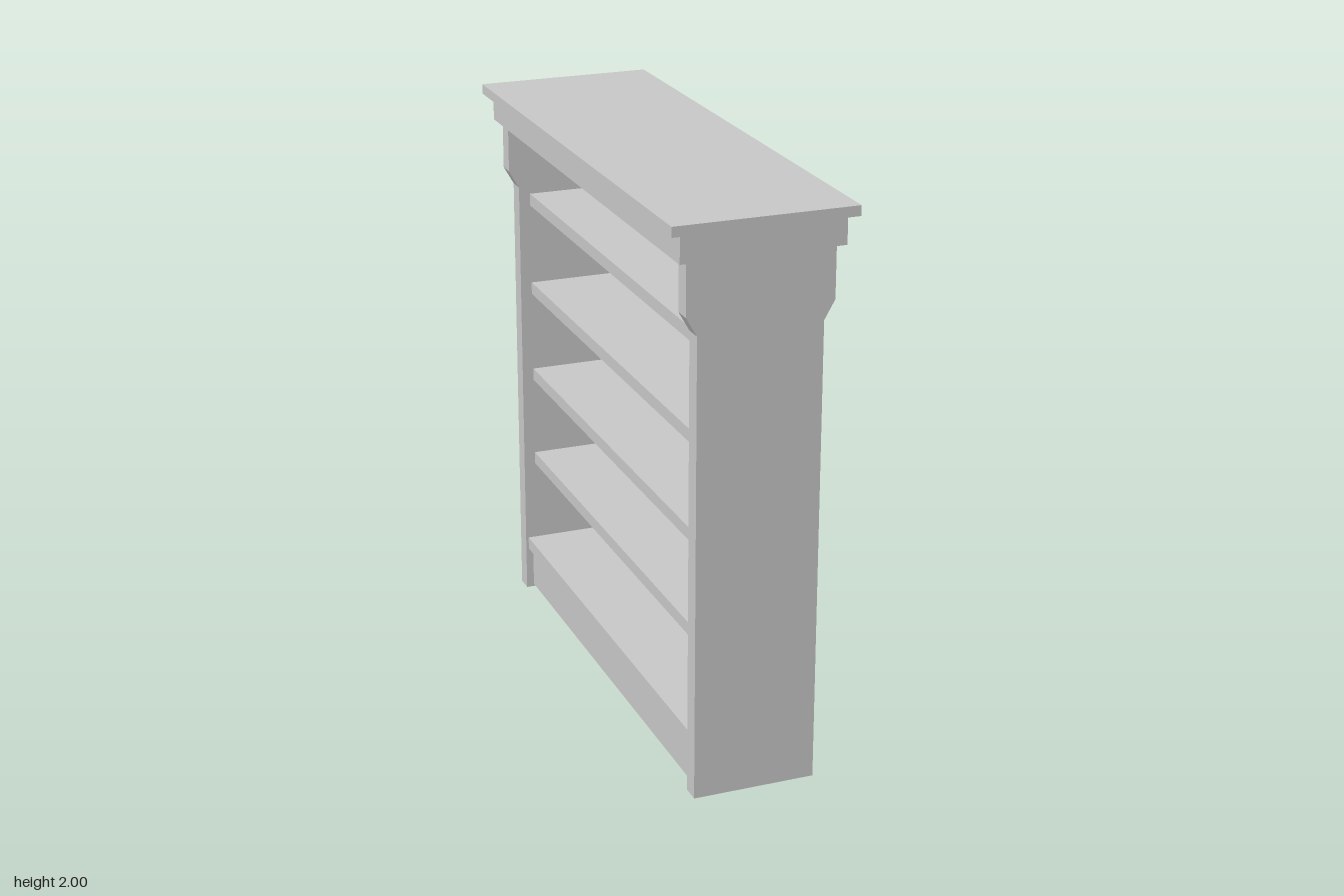
import * as THREE from 'three';

export function createModel() {
  const group = new THREE.Group();
  group.name = 'bookcase';
  const wood = new THREE.MeshStandardMaterial({ color: 0xc8c8c8 });
  wood.name = 'pale grey';

  // Box given by half width, half depth and its bottom and top heights
  const board = (name, halfX, halfZ, y0, y1) => {
    const mesh = new THREE.Mesh(new THREE.BoxGeometry(halfX * 2, y1 - y0, halfZ * 2), wood);
    mesh.position.y = (y0 + y1) / 2;
    mesh.name = name;
    group.add(mesh);
  };

  // Top slab and cornice
  board('topSlab', 0.315, 0.945, 1.965, 2);
  board('cornice', 0.28, 0.925, 1.87, 1.965);

  // End panels, flared outward below the cornice
  const half = [[0.215, 0], [0.215, 1.625], [0.252, 1.69], [0.252, 1.87]];
  const outline = [...half, ...half.map(([x, y]) => [-x, y]).reverse()];
  const shape = new THREE.Shape(outline.map(([x, y]) => new THREE.Vector2(x, y)));
  const inner = 0.845, thick = 0.063;
  const panelGeometry = new THREE.ExtrudeGeometry(shape, { depth: thick, bevelEnabled: false });
  [['frontPanel', inner], ['backPanel', -inner - thick]].forEach(([name, z]) => {
    const panel = new THREE.Mesh(panelGeometry, wood);
    panel.position.z = z;
    panel.name = name;
    group.add(panel);
  });

  // Shelves between the end panels
  [0.52, 0.863, 1.207, 1.552].forEach((y, i) => board(`shelf${i + 1}`, 0.173, inner, y, y + 0.045));

  // Bottom shelf on a slightly recessed plinth
  board('bottomShelf', 0.205, inner, 0.165, 0.211);
  board('plinth', 0.187, inner, 0.01, 0.165);

  return group;
}
